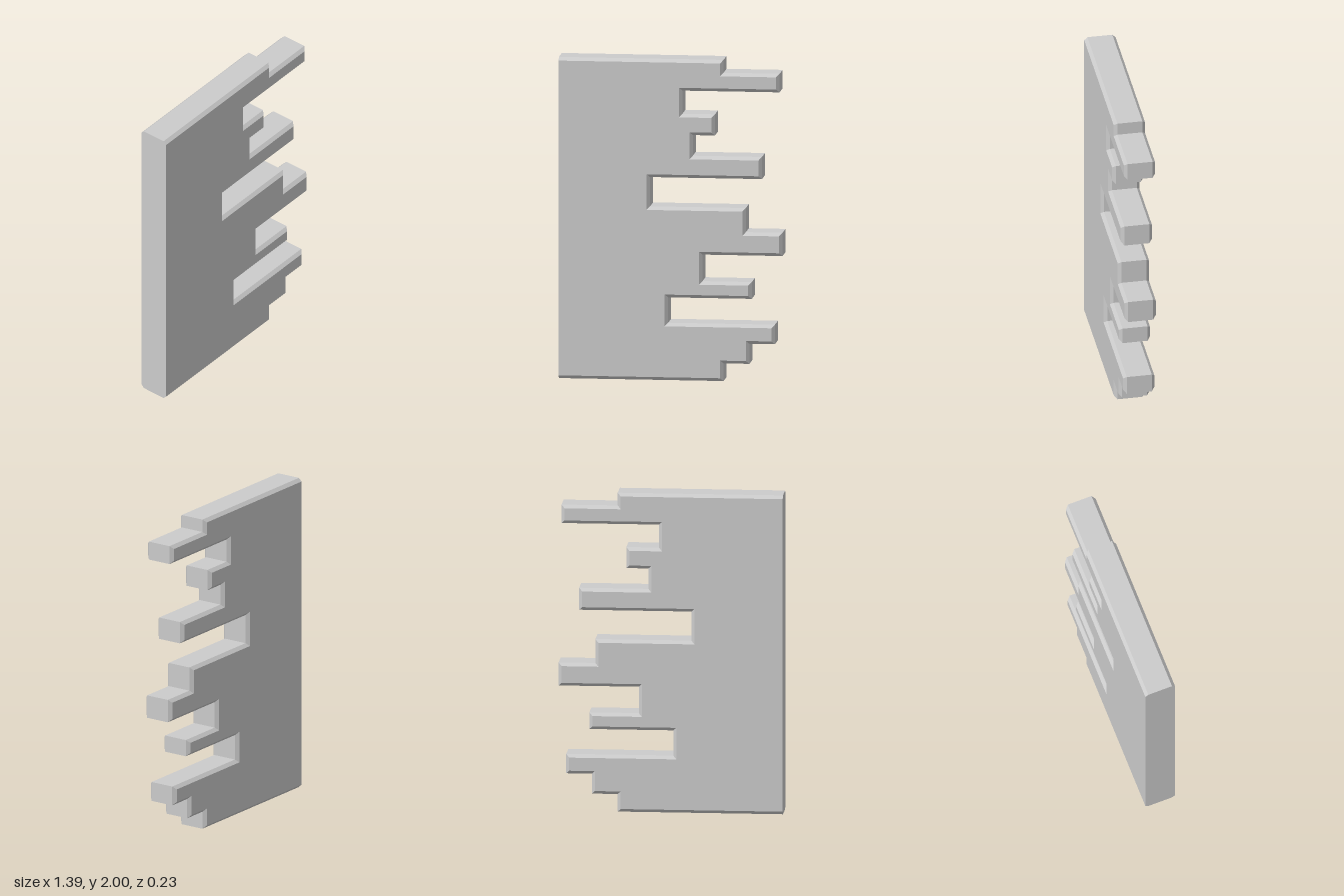
import * as THREE from 'three';

// Slab with a straight left edge and a ragged, stepped right edge
const LEFT = -0.695, DEPTH = 0.196, BEVEL = 0.02, YAW = 0.0245;

// Stepped edge from bottom to top: [x of the vertical edge, y where it ends]
const steps = [
  [0.325, 0.11], [0.485, 0.235], [0.643, 0.357], [-0.018, 0.515],
  [0.50, 0.62], [0.195, 0.785], [0.69, 0.93], [0.463, 1.08],
  [-0.13, 1.262], [0.563, 1.40], [0.135, 1.528], [0.272, 1.66],
  [0.07, 1.804], [0.672, 1.92], [0.325, 2.0],
];

function outline() {
  const shape = new THREE.Shape();
  shape.moveTo(LEFT, 0);
  let y = 0;
  for (const [x, top] of steps) {
    shape.lineTo(x, y);
    shape.lineTo(x, top);
    y = top;
  }
  shape.lineTo(LEFT, y);
  shape.closePath();
  return shape;
}

export function createModel() {
  const group = new THREE.Group();
  group.name = 'brokenPanel';

  // Chamfered extrusion, the chamfer cut inward from the outline
  const geometry = new THREE.ExtrudeGeometry(outline(), {
    depth: DEPTH - 2 * BEVEL, bevelEnabled: true, bevelSegments: 1,
    bevelSize: BEVEL, bevelThickness: BEVEL, bevelOffset: -BEVEL,
  });
  geometry.translate(0, 0, BEVEL - DEPTH / 2);

  // The left end is cut square, without a chamfer
  const pos = geometry.attributes.position;
  for (let i = 0; i < pos.count; i++) {
    if (pos.getX(i) < LEFT + BEVEL * 1.5) pos.setX(i, LEFT);
  }
  geometry.computeVertexNormals();

  const panel = new THREE.Mesh(
    geometry,
    new THREE.MeshStandardMaterial({ color: 0xcccccc, flatShading: true }),
  );
  panel.name = 'panel';
  panel.rotation.y = YAW; // slight turn about the vertical
  group.add(panel);
  return group;
}
